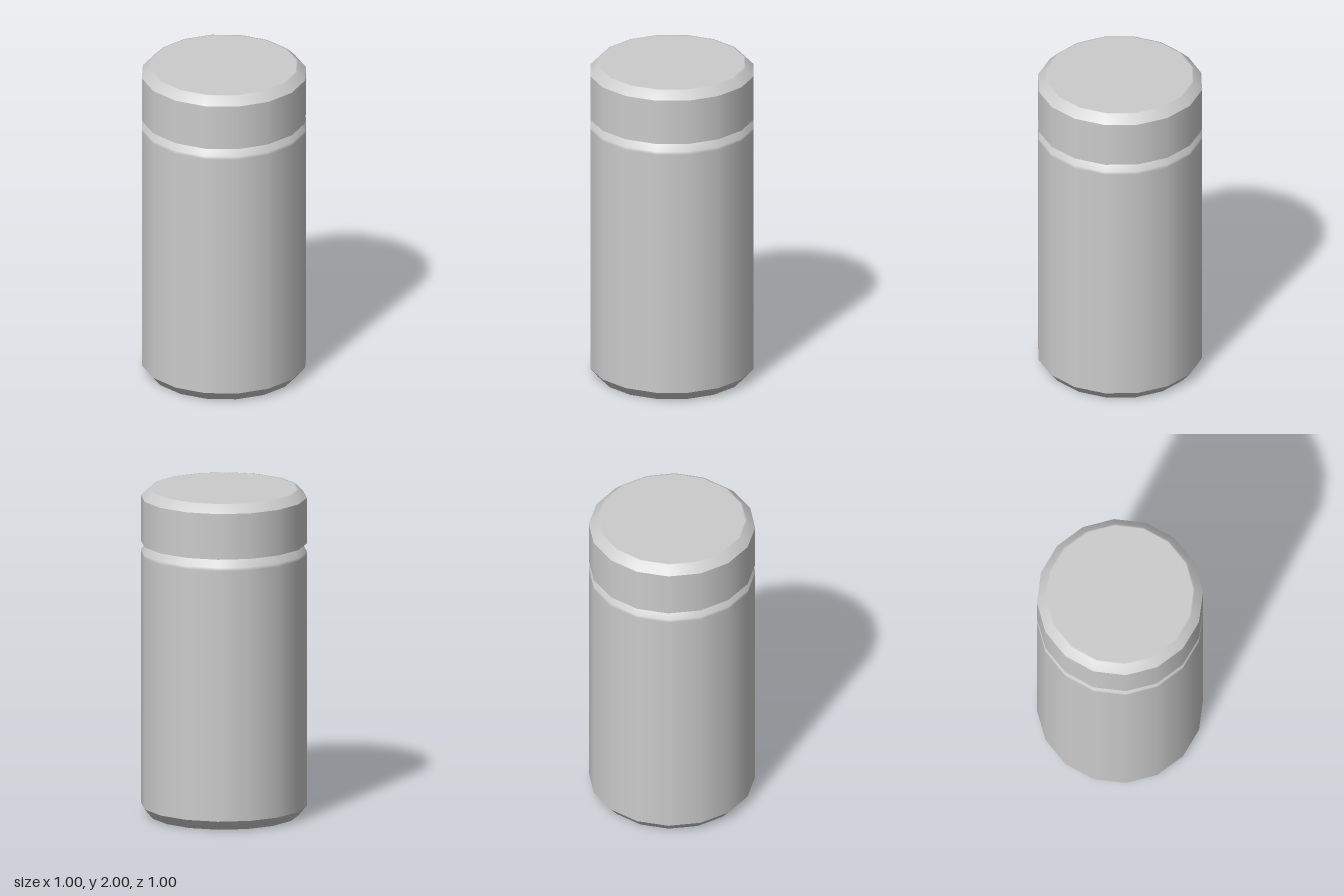
import * as THREE from 'three';

const SIDES = 16;
const material = new THREE.MeshStandardMaterial({ color: 0xcccccc });

// Revolves a profile of [radius, height] points, listed from bottom to top.
// Each call is smooth within itself; seams between calls stay sharp.
function turned(name, profile) {
  const points = profile.map(([r, y]) => new THREE.Vector2(r, y));
  const mesh = new THREE.Mesh(new THREE.LatheGeometry(points, SIDES), material);
  mesh.name = name;
  return mesh;
}

export function createModel() {
  const model = new THREE.Group();
  model.name = 'lidded canister';

  // Body: bevelled base, straight wall and rounded shoulder under the lid
  const body = new THREE.Group();
  body.name = 'body';
  body.add(
    turned('base', [[0, 0], [0.44, 0], [0.45, 0], [0.5, 0.06]]),
    turned('wall', [[0.5, 0.06], [0.5, 1.6], [0.5, 1.62], [0.46, 1.67]]),
  );

  // Lid: flat underside, straight band and bevelled top
  const lid = new THREE.Group();
  lid.name = 'lid';
  lid.add(
    turned('lidUnderside', [[0, 1.67], [0.5, 1.67]]),
    turned('lidBand', [[0.5, 1.67], [0.5, 1.95]]),
    turned('lidTop', [[0.5, 1.95], [0.45, 2], [0.44, 2], [0, 2]]),
  );

  model.add(body, lid);
  return model;
}
